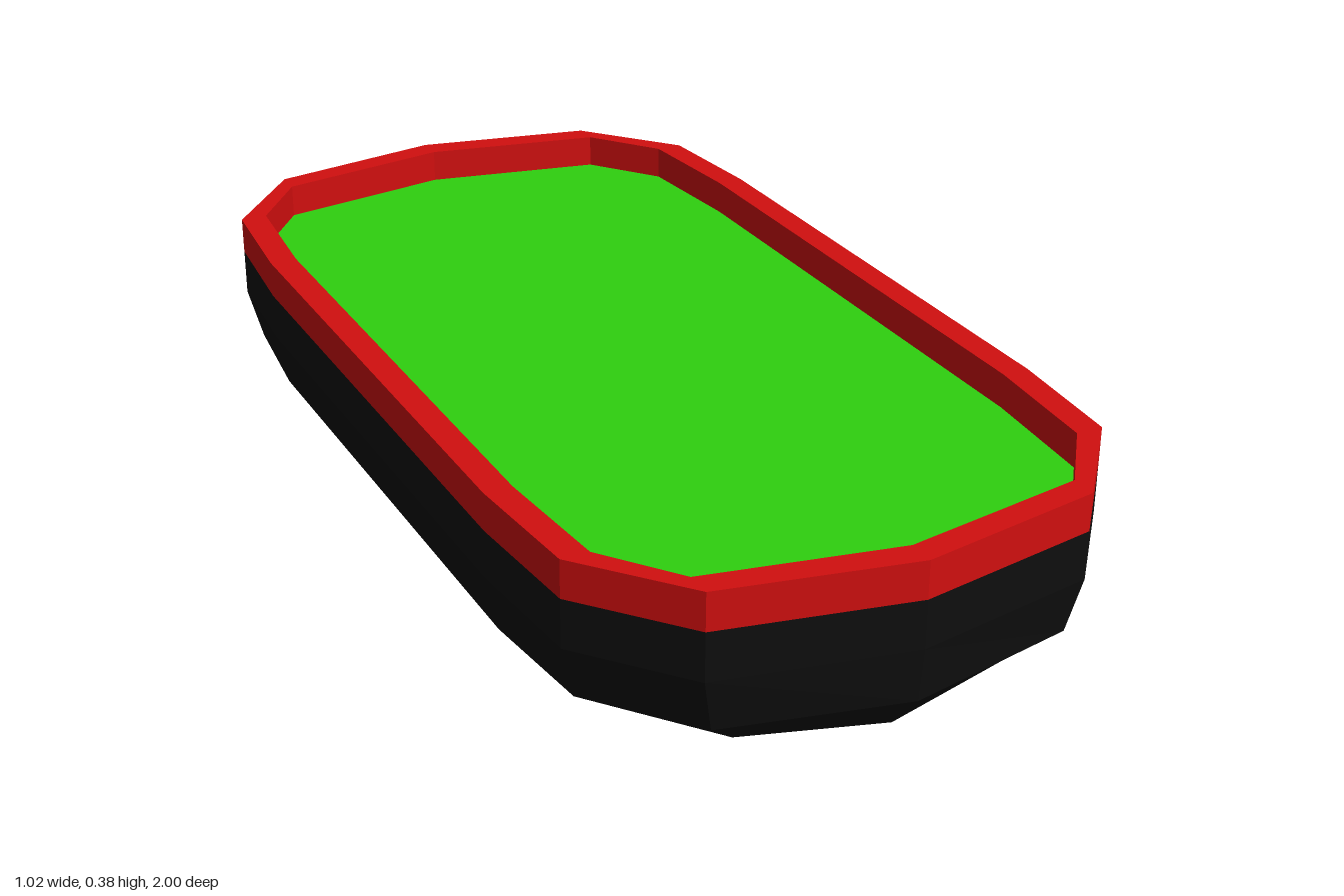
import * as THREE from 'three';

// Full 14-sided ring from a quarter outline of [x, y, z], running front, left, back, right
function ring(q) {
  const flip = (list, sx, sz) => list.map(([x, y, z]) => new THREE.Vector3(x * sx, y, z * sz));
  const rev = [...q].reverse();
  return [...flip(q, 1, 1), ...flip(rev, 1, -1), ...flip(q.slice(1), -1, -1), ...flip(rev.slice(0, 3), -1, 1)];
}

// Faceted skin joining successive rings; zero-area triangles are dropped
function loft(rings) {
  const points = [];
  const tri = (a, b, c) => {
    const area = b.clone().sub(a).cross(c.clone().sub(a)).length();
    if (area > 1e-7) points.push(a, b, c);
  };
  for (let r = 0; r < rings.length - 1; r++) {
    const a = rings[r], b = rings[r + 1];
    for (let i = 0; i < a.length; i++) {
      const j = (i + 1) % a.length;
      tri(a[i], b[i], b[j]);
      tri(a[i], b[j], a[j]);
    }
  }
  const geometry = new THREE.BufferGeometry().setFromPoints(points);
  geometry.computeVertexNormals();
  return geometry;
}

export function createModel() {
  const black = new THREE.MeshStandardMaterial({ color: 0x0e0e0e });
  black.name = 'black hull';
  const red = new THREE.MeshStandardMaterial({ color: 0xd10f0f });
  red.name = 'red rim';
  const green = new THREE.MeshStandardMaterial({ color: 0x2fd00f });
  green.name = 'green deck';

  const outer = [[0, 1], [0.34, 0.935], [0.49, 0.755], [0.51, 0.515]];
  const inner = [[0, 0.95], [0.34, 0.887], [0.44, 0.755], [0.46, 0.515]];
  const level = (outline, y) => ring(outline.map(([x, z]) => [x, y, z]));
  const top = 0.375, seam = 0.307, deckY = 0.312;

  const group = new THREE.Group();
  const add = (name, geometry, material) => {
    const mesh = new THREE.Mesh(geometry, material);
    mesh.name = name;
    group.add(mesh);
  };

  // Hull: straight sides, rounded bilge and a shallow keel
  add('hull', loft([
    level(outer, seam),
    level(outer, 0.22),
    ring([[0, 0.122, 0.99], [0.32, 0.122, 0.92], [0.465, 0.122, 0.745], [0.49, 0.122, 0.515]]),
    ring([[0, 0.043, 0.922], [0.25, 0.052, 0.86], [0.33, 0.045, 0.735], [0.34, 0.035, 0.515]]),
    ring([[0, 0.01, 0.75], [0, 0.01, 0.75], [0, 0.01, 0.75], [0, 0, 0.515]]),
  ]), black);

  // Raised rim: inner wall, flat top and outer band
  add('rim', loft([level(inner, deckY), level(inner, top), level(outer, top), level(outer, seam)]), red);

  // Sunken deck
  add('deck', loft([level(inner.map(() => [0, 0]), deckY), level(inner, deckY)]), green);

  return group;
}
